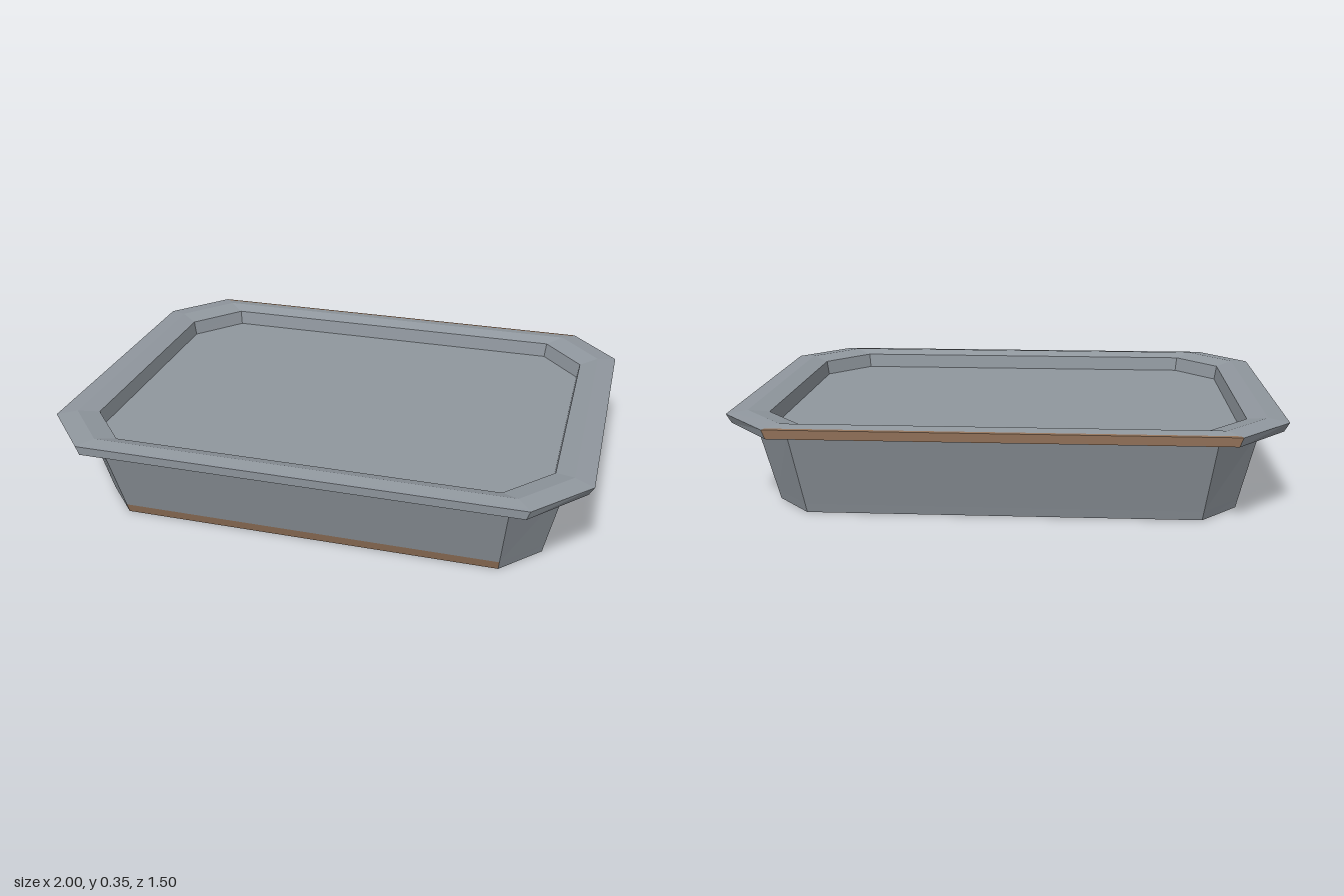
import * as THREE from 'three';

const grey = new THREE.MeshStandardMaterial({ color: 0x90979e });
grey.name = 'greyMetal';
const brown = new THREE.MeshStandardMaterial({ color: 0x93735a });
brown.name = 'rustBrown';

// Sides of the octagon, counted from the model's left (+x)
const FRONT = 2, BACK = 6;

// Octagonal ring: half sizes hx, hz and the corner cuts at cx, cz
function ring(y, hx, hz, cx, cz) {
  return [[hx, -cz], [hx, cz], [cx, hz], [-cx, hz], [-hx, cz], [-hx, -cz], [-cx, -hz], [cx, -hz]]
    .map(([x, z]) => [x, y, z]);
}

function makeMesh(name, points, groups) {
  const geometry = new THREE.BufferGeometry();
  geometry.setAttribute('position', new THREE.Float32BufferAttribute(points.flat(), 3));
  groups.forEach((g) => geometry.addGroup(...g));
  geometry.computeVertexNormals();
  const mesh = new THREE.Mesh(geometry, groups.length ? [grey, brown] : grey);
  mesh.name = name;
  return mesh;
}

// Band of flat quads between two rings; one side may be brown
function band(name, a, b, brownSide = -1) {
  const points = [], groups = [];
  for (let i = 0; i < 8; i++) {
    const j = (i + 1) % 8;
    points.push(a[i], b[i], a[j], a[j], b[i], b[j]);
    if (brownSide >= 0) groups.push([i * 6, 6, i === brownSide ? 1 : 0]);
  }
  return makeMesh(name, points, groups);
}

// Flat cap over a ring
function cap(name, r, up) {
  const points = [], centre = [0, r[0][1], 0];
  for (let i = 0; i < 8; i++) {
    const p = r[i], q = r[(i + 1) % 8];
    points.push(centre, ...(up ? [q, p] : [p, q]));
  }
  return makeMesh(name, points, []);
}

export function createModel() {
  const model = new THREE.Group();
  model.name = 'tray';

  const base = ring(0, 0.84, 0.6, 0.705, 0.45);
  const stain = ring(0.035, 0.847, 0.61, 0.709, 0.456);
  const wallTop = ring(0.305, 0.905, 0.69, 0.74, 0.5);
  const rimLow = ring(0.311, 0.982, 0.748, 0.8, 0.535);
  const rimHigh = ring(0.344, 1, 0.75, 0.812, 0.54);
  const rimStain = ring(0.3457, 0.985, 0.736, 0.803, 0.533);
  const ridge = ring(0.352, 0.93, 0.692, 0.765, 0.505);
  const lip = ring(0.336, 0.862, 0.642, 0.704, 0.462);
  const floor = ring(0.28, 0.853, 0.633, 0.698, 0.457);

  // Tapered body
  model.add(cap('bottom', base, false));
  model.add(band('lowerWall', base, stain, FRONT));
  model.add(band('wall', stain, wallTop));

  // Overhanging rim
  model.add(band('rimUnderside', wallTop, rimLow));
  model.add(band('rimEdge', rimLow, rimHigh, BACK));
  model.add(band('rimBorder', rimHigh, rimStain, BACK));
  model.add(band('rimTop', rimStain, ridge));
  model.add(band('rimInnerSlope', ridge, lip));

  // Recessed panel
  model.add(band('recessWall', lip, floor));
  model.add(cap('recessFloor', floor, true));

  return model;
}
